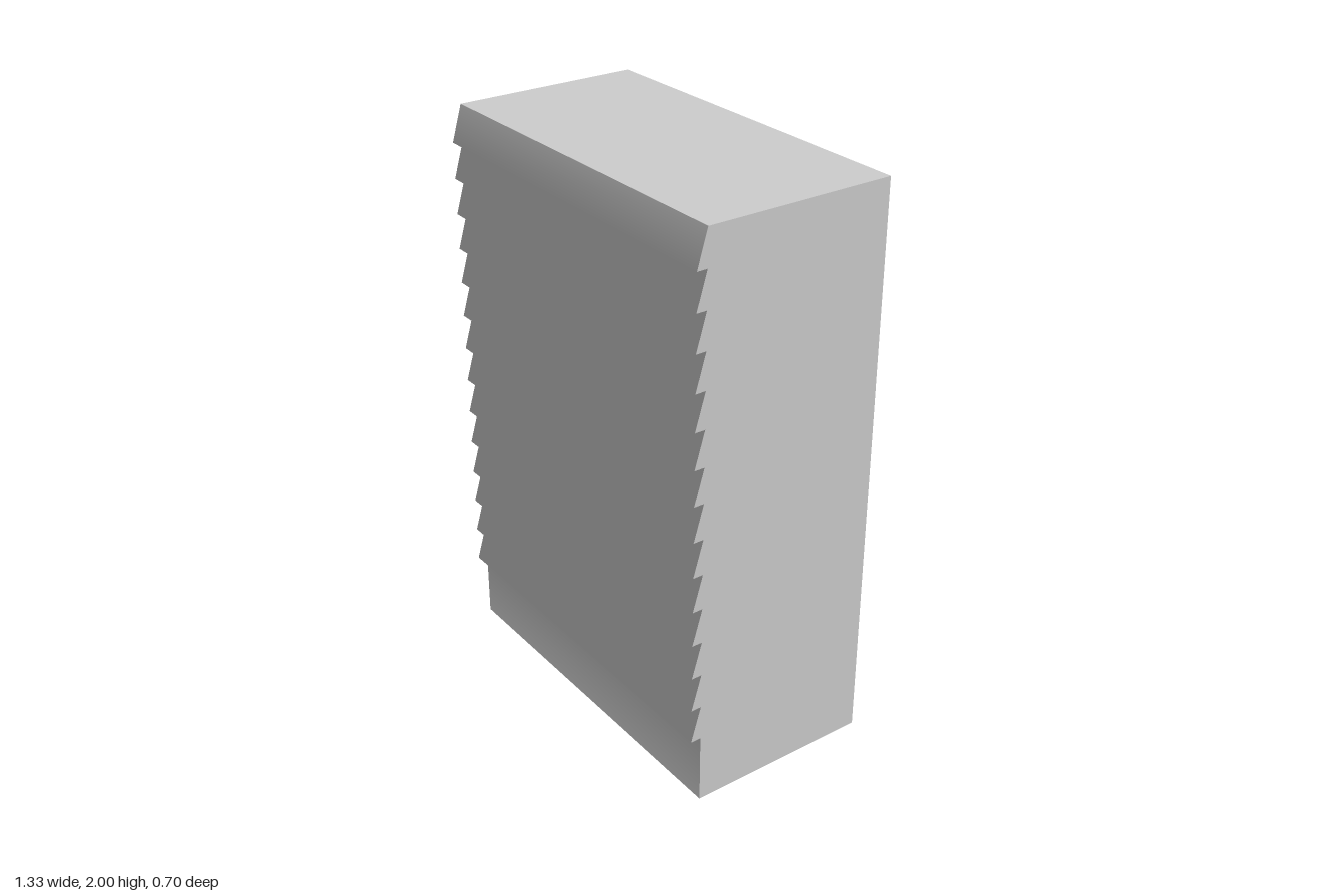
import * as THREE from 'three';

const HALF_W = 0.665, BACK = -0.352, INNER = 0.315, TIP = 0.352;
const HEIGHT = 2, SILL = 0.25, SLATS = 14;

// Front profile as (z, y), from the bottom up: plain sill, then overlapping slats
function frontProfile() {
  const pts = [new THREE.Vector2(INNER, 0)];
  const pitch = (HEIGHT - SILL) / SLATS;
  for (let i = 0; i < SLATS; i++) {
    const y = SILL + i * pitch;
    pts.push(new THREE.Vector2(INNER, y), new THREE.Vector2(TIP, y));
  }
  pts.push(new THREE.Vector2(INNER, HEIGHT));
  return pts;
}

// Sheet swept across x, with normals averaged evenly between neighbouring strips
function sheetGeometry(profile) {
  const strips = profile.slice(1).map((p, i) => {
    const d = p.clone().sub(profile[i]).normalize();
    return new THREE.Vector2(d.y, -d.x);
  });
  const position = [], normal = [], index = [];
  profile.forEach((p, i) => {
    const n = new THREE.Vector2();
    if (i > 0) n.add(strips[i - 1]);
    if (i < strips.length) n.add(strips[i]);
    n.normalize();
    for (const x of [-HALF_W, HALF_W]) {
      position.push(x, p.y, p.x);
      normal.push(0, n.y, n.x);
    }
    if (i < strips.length) {
      const a = 2 * i;
      index.push(a, a + 1, a + 3, a, a + 3, a + 2);
    }
  });
  const geo = new THREE.BufferGeometry();
  geo.setAttribute('position', new THREE.Float32BufferAttribute(position, 3));
  geo.setAttribute('normal', new THREE.Float32BufferAttribute(normal, 3));
  geo.setIndex(index);
  return geo;
}

export function createModel() {
  const group = new THREE.Group();
  const material = new THREE.MeshStandardMaterial({ color: 0xcccccc, side: THREE.DoubleSide });
  const add = (name, geometry) => {
    const mesh = new THREE.Mesh(geometry, material);
    mesh.name = name;
    group.add(mesh);
    return mesh;
  };

  // Slatted front
  const profile = frontProfile();
  add('slattedFront', sheetGeometry(profile));

  // Side walls follow the saw-tooth outline; the back stays open
  const outline = new THREE.Shape([
    new THREE.Vector2(BACK, 0), ...profile, new THREE.Vector2(BACK, HEIGHT),
  ]);
  for (const [name, side] of [['rightWall', -1], ['leftWall', 1]]) {
    const geo = new THREE.ShapeGeometry(outline).rotateY(-Math.PI / 2);
    if (side > 0) {
      // Turn the left wall so that it faces outward
      const idx = geo.index;
      for (let i = 0; i < idx.count; i += 3) {
        const b = idx.getX(i + 1);
        idx.setX(i + 1, idx.getX(i + 2));
        idx.setX(i + 2, b);
      }
      geo.computeVertexNormals();
    }
    add(name, geo).position.x = side * HALF_W;
  }

  // Top and bottom panels
  for (const [name, y, turn] of [['topPanel', HEIGHT, -1], ['bottomPanel', 0, 1]]) {
    const geo = new THREE.PlaneGeometry(2 * HALF_W, INNER - BACK).rotateX(turn * Math.PI / 2);
    add(name, geo).position.set(0, y, (INNER + BACK) / 2);
  }
  return group;
}
